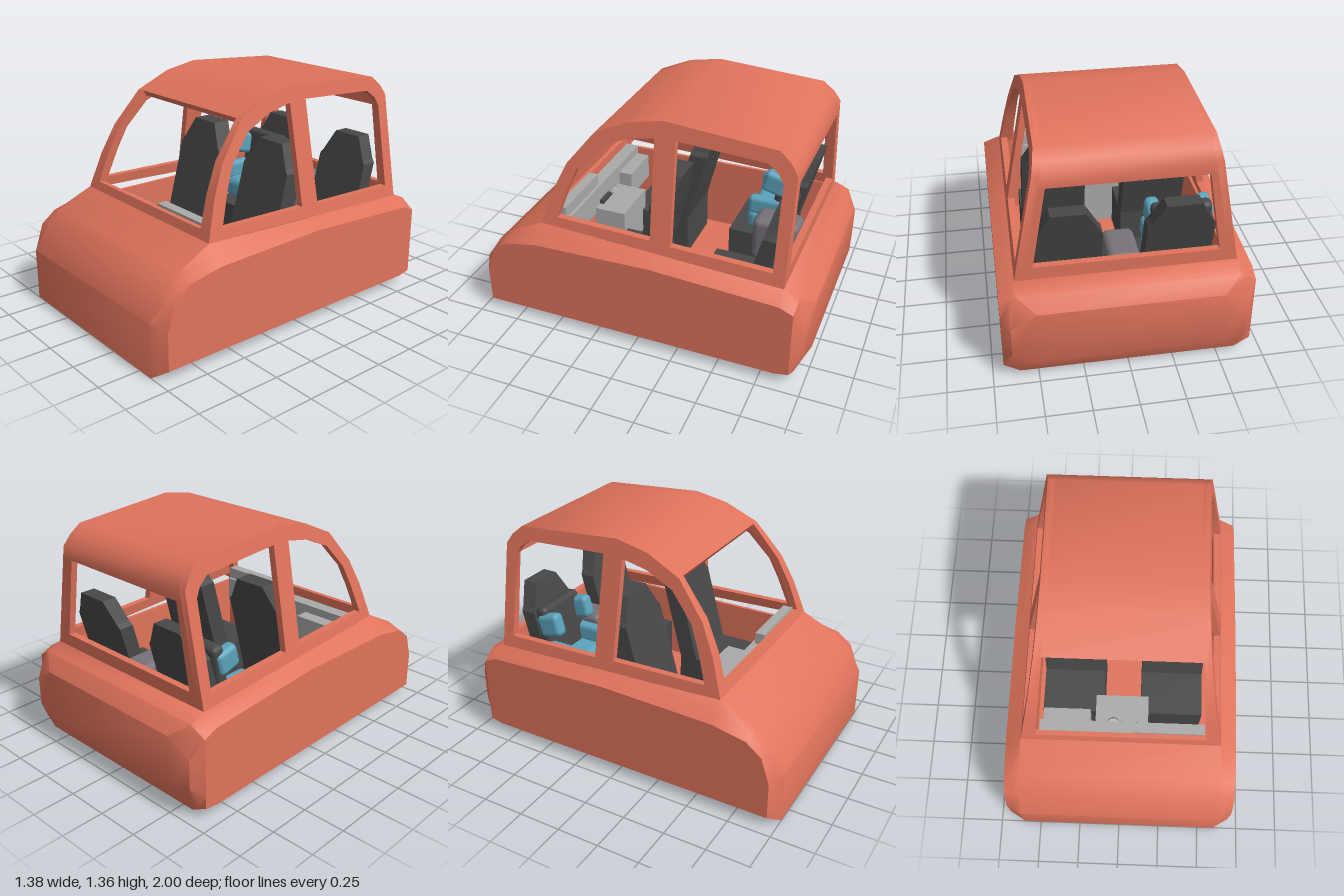
import * as THREE from 'three';
import { toCreasedNormals } from 'three/addons/utils/BufferGeometryUtils.js';
import { RoundedBoxGeometry } from 'three/addons/geometries/RoundedBoxGeometry.js';

const mat = (color) => new THREE.MeshStandardMaterial({ color });
const paint = mat(0xe0735c), dark = mat(0x484848), grey = mat(0xaaaaaa), blue = mat(0x5ba3bd), trim = mat(0x77727a);
const CREASE = 0.65;

// Half width of the leaning cabin side at height y
const cabinX = (y) => 0.59 - 0.1875 * (y - 0.635);

function shapeOf(points, holes = []) {
  const toVec = (list) => list.map(([a, b]) => new THREE.Vector2(a, b));
  const shape = new THREE.Shape(toVec(points));
  holes.forEach((h) => shape.holes.push(new THREE.Path(toVec(h))));
  return shape;
}

// Solid with a (z, y) outline whose ends follow x0(y) and x1(y)
function slab(points, x0, x1, holes) {
  const g = new THREE.ExtrudeGeometry(shapeOf(points, holes), { depth: 1, bevelEnabled: false });
  const p = g.attributes.position;
  for (let i = 0; i < p.count; i++) {
    const z = p.getX(i), y = p.getY(i), w = p.getZ(i);
    p.setXYZ(i, x1(y) - w * (x1(y) - x0(y)), y, z);
  }
  return toCreasedNormals(g, CREASE);
}

// Lower body: three matching outlines (flank, shoulder, centre) joined across x
function bodyGeometry() {
  const flank = [[0.95, 0.06], [0.95, 0.28], [0.9, 0.43], [0.81, 0.5], [0.61, 0.54], [-0.1, 0.56], [-0.84, 0.52],
    [-0.92, 0.485], [-0.92, 0.4], [-0.92, 0.15], [-0.92, 0.075], [-0.84, 0.06]];
  const centre = [[1, 0], [1, 0.31], [0.9, 0.46], [0.81, 0.535], [0.61, 0.635], [-0.1, 0.604], [-0.84, 0.575],
    [-0.93, 0.54], [-1, 0.465], [-1, 0.15], [-0.93, 0.03], [-0.84, 0]];
  const n = flank.length, isRear = (i) => i === 8 || i === 9;
  const cap = flank.map(() => new THREE.Vector3(0.69, 0.3, 0));
  const outer = flank.map(([z, y]) => new THREE.Vector3(0.69, y, z));
  const inner = centre.map(([z, y], i) => new THREE.Vector3(isRear(i) ? 0.5 : i > 3 && i < 7 ? cabinX(y) : 0.6, y, z));
  const middle = outer.map((v, i) => isRear(i)
    ? new THREE.Vector3(0.64, i === 8 ? 0.37 : 0.2, -0.985) : v.clone().lerp(inner[i], 0.5));
  const half = [cap, outer, middle, inner];
  const loops = [...half, ...half.slice().reverse().map((l) => l.map((v) => new THREE.Vector3(-v.x, v.y, v.z)))];
  const pos = [], tri = new THREE.Triangle();
  const add = (a, b, c) => {
    tri.set(a, b, c);
    if (tri.getArea() > 1e-7) [a, b, c].forEach((v) => pos.push(v.x, v.y, v.z));
  };
  for (let k = 0; k < loops.length - 1; k++) {
    for (let i = 0; i < n; i++) {
      if (k === 3 && (i === 4 || i === 5)) continue; // open below the cabin
      const j = (i + 1) % n;
      add(loops[k][i], loops[k][j], loops[k + 1][i]);
      add(loops[k][j], loops[k + 1][j], loops[k + 1][i]);
    }
  }
  const g = new THREE.BufferGeometry();
  g.setAttribute('position', new THREE.Float32BufferAttribute(pos, 3));
  return toCreasedNormals(g, CREASE);
}

// Tapered seat back, leaning rearwards from z at its base
function seatBack(baseY, topY, z, depth) {
  const half = [[0.19, baseY], [0.185, topY - 0.155], [0.165, topY - 0.13], [0.095, topY]];
  const outline = [...half, ...half.slice().reverse().map(([x, y]) => [-x, y])];
  const g = new THREE.ExtrudeGeometry(shapeOf(outline), { depth, bevelEnabled: false });
  const p = g.attributes.position;
  for (let i = 0; i < p.count; i++) {
    p.setZ(i, p.getZ(i) + z - depth - 0.26 * (p.getY(i) - 0.67));
  }
  g.computeVertexNormals();
  return g;
}

export function createModel() {
  const model = new THREE.Group();
  const add = (name, geo, material, x = 0, y = 0, z = 0, parent = model) => {
    const m = new THREE.Mesh(geo, material);
    m.name = name;
    m.position.set(x, y, z);
    parent.add(m);
    return m;
  };
  const box = (name, w, h, d, material, x, y, z, parent) =>
    add(name, new THREE.BoxGeometry(w, h, d), material, x, y, z, parent);
  const pad = (name, w, h, d, r, material, x, y, z, parent) =>
    add(name, new RoundedBoxGeometry(w, h, d, 2, r), material, x, y, z, parent);

  add('lowerBody', bodyGeometry(), paint);

  // Cabin sides with two window openings each
  const sideOutline = [[0.61, 0.635], [0.54, 0.85], [0.46, 1.02], [0.3, 1.22], [0.1, 1.315], [-0.1, 1.355],
    [-0.735, 1.31], [-0.8, 1.255], [-0.84, 1.195], [-0.84, 0.575]];
  const frontWindow = [[0.51, 0.69], [0.45, 0.87], [0.395, 1.0], [0.265, 1.15], [0.1, 1.225], [-0.055, 1.255], [-0.065, 0.675]];
  const rearWindow = [[-0.175, 1.26], [-0.68, 1.235], [-0.74, 1.19], [-0.77, 1.14], [-0.77, 0.65], [-0.185, 0.665]];
  const holes = [frontWindow, rearWindow];
  add('leftCabinSide', slab(sideOutline, (y) => cabinX(y) - 0.04, cabinX, holes), paint);
  add('rightCabinSide', slab(sideOutline, (y) => -cabinX(y), (y) => 0.04 - cabinX(y), holes), paint);

  // Roof shell, from the windscreen header to the top of the rear window
  const right = (y) => -cabinX(y);
  add('roof', slab([[0.3, 1.22], [0.1, 1.315], [-0.1, 1.355], [-0.735, 1.31], [-0.8, 1.255], [-0.84, 1.195], [-0.84, 1.125],
    [-0.8, 1.125], [-0.8, 1.18], [-0.77, 1.23], [-0.72, 1.27], [-0.1, 1.315], [0.09, 1.275], [0.275, 1.185]], right, cabinX), paint);

  // Windscreen and rear window surrounds
  add('windscreenSill', slab([[0.61, 0.635], [0.594, 0.685], [0.565, 0.685], [0.565, 0.6]], right, cabinX), paint);
  add('rearSill', slab([[-0.84, 0.575], [-0.84, 0.65], [-0.8, 0.65], [-0.8, 0.56]], right, cabinX), paint);
  const frontPillar = [[0.61, 0.635], [0.54, 0.85], [0.46, 1.02], [0.3, 1.22], [0.275, 1.185], [0.425, 1.0], [0.505, 0.835], [0.565, 0.635]];
  const rearPillar = [[-0.84, 0.575], [-0.84, 1.125], [-0.8, 1.125], [-0.8, 0.575]];
  const frontGap = (y) => 0.5 - 0.1215 * (y - 0.685);
  const rearGap = (y) => 0.5 - 0.168 * (y - 0.65);
  for (const [name, outline, gap] of [['windscreenPillar', frontPillar, frontGap], ['rearPillar', rearPillar, rearGap]]) {
    add(name + 'Left', slab(outline, gap, cabinX), paint);
    add(name + 'Right', slab(outline, right, (y) => -gap(y)), paint);
  }

  // Interior tub
  box('floor', 1.12, 0.03, 1.38, paint, 0, 0.1, -0.115);
  box('frontBulkhead', 1.12, 0.5, 0.02, paint, 0, 0.35, 0.575);
  box('rearBulkhead', 1.12, 0.46, 0.02, paint, 0, 0.34, -0.81);
  for (const s of [-1, 1]) box('innerWall', 0.02, 0.48, 1.38, paint, s * 0.56, 0.34, -0.115);

  // Seats
  for (const s of [-1, 1]) {
    for (const [name, top, z, depth, cushionZ, cushionD] of [
      ['frontSeat', 1.0, 0.015, 0.11, 0.17, 0.38], ['rearSeat', 0.93, -0.65, 0.09, -0.48, 0.36]]) {
      const seat = new THREE.Group();
      seat.name = name;
      seat.position.x = s * 0.305;
      add(name + 'Back', seatBack(0.36, top, z, depth), dark, 0, 0, 0, seat);
      box(name + 'Cushion', 0.38, 0.26, cushionD, dark, 0, 0.25, cushionZ, seat);
      model.add(seat);
    }
  }
  pad('rearArmrest', 0.18, 0.28, 0.28, 0.04, trim, 0, 0.48, -0.64);

  // Dashboard and centre console
  box('dashboard', 0.97, 0.16, 0.08, grey, 0, 0.55, 0.525);
  box('instrumentHood', 0.42, 0.17, 0.06, grey, 0.28, 0.615, 0.535);
  box('gloveBox', 0.28, 0.16, 0.1, grey, -0.33, 0.5, 0.45);
  box('centreConsole', 0.32, 0.38, 0.2, grey, 0, 0.32, 0.39);
  box('consolePanel', 0.2, 0.03, 0.03, dark, 0, 0.52, 0.475);
  const knob = add('consoleKnob', new THREE.CylinderGeometry(0.04, 0.04, 0.03, 16), grey, -0.05, 0.53, 0.475);
  knob.rotation.x = 0.5;

  // Child seat on the right rear seat
  const child = new THREE.Group();
  child.name = 'childSeat';
  child.position.set(-0.335, 0, -0.53);
  pad('childSeatBase', 0.36, 0.14, 0.26, 0.05, blue, 0, 0.45, 0.01, child);
  pad('childSeatBack', 0.34, 0.38, 0.08, 0.03, dark, 0, 0.64, -0.07, child).rotation.x = -0.15;
  for (const s of [-1, 1]) {
    pad('childSeatHeadWing', 0.08, 0.14, 0.15, 0.03, blue, s * 0.145, 0.73, -0.03, child).rotation.x = -0.25;
    pad('childSeatArm', 0.07, 0.12, 0.24, 0.03, blue, s * 0.15, 0.56, 0.01, child);
  }
  model.add(child);
  return model;
}
